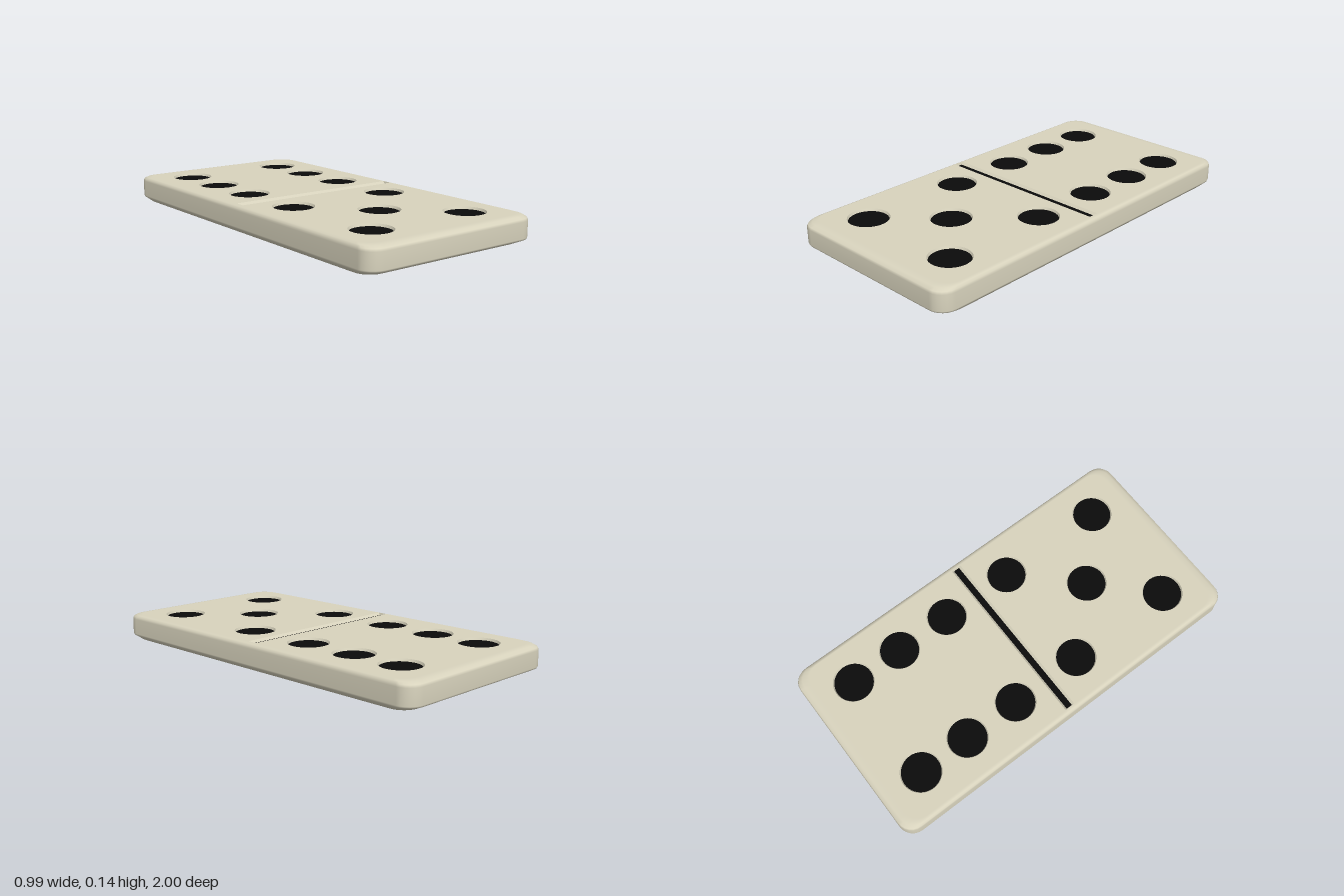
import * as THREE from 'three';

const HALF_X = 0.497, HALF_Z = 1, TOP = 0.136, DEPTH = 0.012;

// Plan outlines: 2D points, counter-clockwise from above (2D y is -z)
function roundedRect(hx, hz, r, steps = 6) {
  const pts = [];
  [[1, 1], [-1, 1], [-1, -1], [1, -1]].forEach(([sx, sz], k) => {
    for (let i = 0; i <= steps; i++) {
      const a = (k + i / steps) * Math.PI / 2;
      pts.push(new THREE.Vector2(sx * (hx - r) + r * Math.cos(a), sz * (hz - r) + r * Math.sin(a)));
    }
  });
  return pts;
}

function circle(x, z, r, n = 40) {
  return Array.from({ length: n }, (_, i) => {
    const a = i / n * Math.PI * 2;
    return new THREE.Vector2(x + r * Math.cos(a), -z + r * Math.sin(a));
  });
}

function rect(hx, hz) {
  return [[hx, -hz], [hx, hz], [-hx, hz], [-hx, -hz]].map(p => new THREE.Vector2(...p));
}

// Wall through matching outlines; faces outward when rising, inward when sinking
function loft(rings) {
  const n = rings[0].pts.length, pos = [], idx = [];
  rings.forEach(({ pts, y }) => pts.forEach(p => pos.push(p.x, y, -p.y)));
  for (let j = 0; j < rings.length - 1; j++) {
    for (let i = 0; i < n; i++) {
      const a = j * n + i, b = j * n + (i + 1) % n;
      idx.push(a, b, b + n, a, b + n, a + n);
    }
  }
  const g = new THREE.BufferGeometry();
  g.setAttribute('position', new THREE.Float32BufferAttribute(pos, 3));
  g.setIndex(idx);
  g.computeVertexNormals();
  return g;
}

// Flat horizontal face, facing up
function cap(pts, y, holes = []) {
  const shape = new THREE.Shape(pts);
  shape.holes = holes.map(h => new THREE.Path(h));
  return new THREE.ShapeGeometry(shape).rotateX(-Math.PI / 2).translate(0, y, 0);
}

export function createModel() {
  const model = new THREE.Group();
  model.name = 'dominoTile';
  const ivory = new THREE.MeshStandardMaterial({ color: 0xd8d3bd });
  const black = new THREE.MeshStandardMaterial({ color: 0x0a0a0a });
  const add = (parent, name, geometry, material) => {
    const mesh = new THREE.Mesh(geometry, material);
    mesh.name = name;
    parent.add(mesh);
  };

  // Rounded side wall: height, inset in x, inset in z
  const rings = [
    [0, 0.025, 0.05], [0.022, 0.002, 0.003], [0.03, 0, 0],
    [0.11, 0, 0], [0.122, 0.003, 0.005], [0.131, 0.011, 0.024], [TOP, 0.025, 0.055],
  ].map(([y, ix, iz]) => ({ y, pts: roundedRect(HALF_X - ix, HALF_Z - iz, 0.08) }));
  const side = loft(rings);
  // Blend the wall smoothly into the flat top and bottom
  const n = rings[0].pts.length, normal = side.attributes.normal;
  for (let i = 0; i < n; i++) {
    normal.setXYZ(i, 0, -1, 0);
    normal.setXYZ(normal.count - 1 - i, 0, 1, 0);
  }
  add(model, 'sideWall', side, ivory);
  add(model, 'bottomFace', cap(rings[0].pts, 0).rotateX(Math.PI), ivory);

  // Recesses: six pips at the back, five at the front, one dividing groove
  const recesses = [];
  const pip = (x, z) => recesses.push({ name: 'pip', outer: circle(x, z, 0.103), inner: circle(x, z, 0.098) });
  for (const x of [-0.285, 0.285]) {
    for (const z of [-0.767, -0.49, -0.195, 0.187, 0.757]) pip(x, z);
  }
  pip(-0.004, 0.485);
  recesses.push({ name: 'dividingGroove', outer: rect(0.469, 0.027), inner: rect(0.466, 0.016) });

  add(model, 'topFace', cap(rings.at(-1).pts, TOP, recesses.map(r => r.outer)), ivory);

  for (const { name, outer, inner } of recesses) {
    const group = new THREE.Group();
    group.name = name;
    let wall = loft([{ pts: outer, y: TOP }, { pts: inner, y: TOP - DEPTH }]);
    if (name === 'dividingGroove') {
      wall = wall.toNonIndexed();
      wall.computeVertexNormals();
    }
    add(group, name + 'Wall', wall, ivory);
    add(group, name + 'Floor', cap(inner, TOP - DEPTH), black);
    model.add(group);
  }
  return model;
}
